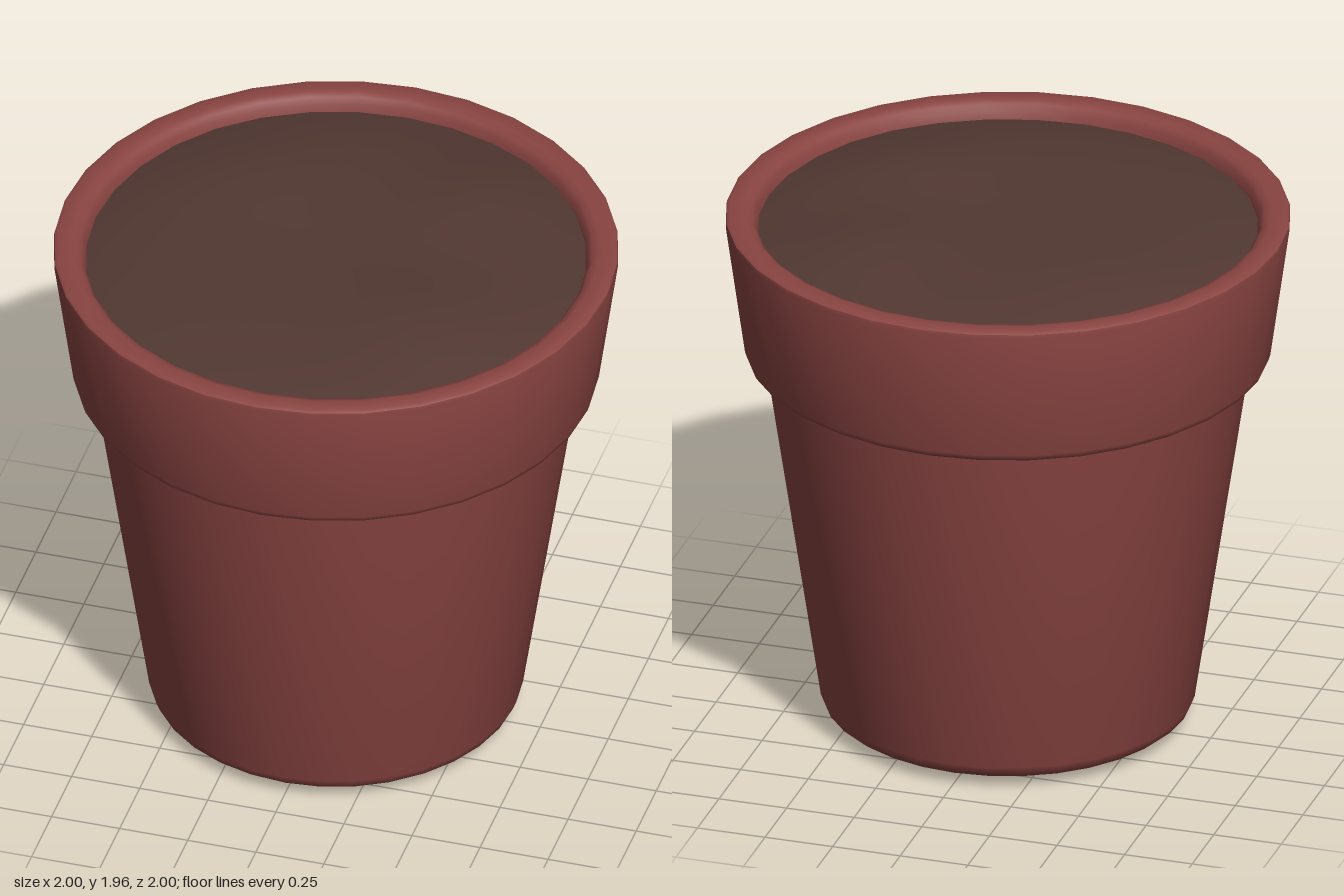
import * as THREE from 'three';
import { mergeVertices, toCreasedNormals } from 'three/addons/utils/BufferGeometryUtils.js';

const SIDES = 32;
const lathe = (profile) =>
  new THREE.LatheGeometry(profile.map(([r, y]) => new THREE.Vector2(r, y)), SIDES);

function addMesh(group, name, geometry, color) {
  const mesh = new THREE.Mesh(geometry, new THREE.MeshStandardMaterial({ color }));
  mesh.name = name;
  group.add(mesh);
}

// Gentle mounds on the soil: x, z, height, spread
const mounds = [
  [0.4, -0.42, 0.032, 0.25],
  [0.42, 0.32, 0.028, 0.25],
  [-0.42, -0.35, 0.02, 0.27],
];

function soilHeight(x, z) {
  const r = Math.hypot(x, z) / 0.885;
  let y = 1.885 + 0.052 * (1 - r ** 4);
  for (const [mx, mz, h, s] of mounds) {
    y += h * Math.exp(-((x - mx) ** 2 + (z - mz) ** 2) / (s * s));
  }
  return y;
}

export function createModel() {
  const group = new THREE.Group();
  group.name = 'flowerPot';

  // Tapered pot with a thick collar, rounded lip and hollow neck
  const pot = lathe([
    [0, 0], [0.42, 0.004], [0.55, 0.016], [0.625, 0.04], [0.65, 0.06], [0.662, 0.09], // base
    [0.859, 1.41], // wall
    [0.912, 1.41], [0.924, 1.418], [0.93, 1.436], // collar underside
    [0.998, 1.925], [0.996, 1.938], [0.985, 1.945], // collar side
    [0.93, 1.945], [0.905, 1.936], [0.89, 1.915], [0.88, 1.87], [0.865, 1.75], // lip and inner wall
  ]);
  addMesh(group, 'pot', toCreasedNormals(pot, 0.8), 0x8a4542);

  // Uneven soil surface filling the neck
  let soil = lathe([0.885, 0.84, 0.77, 0.68, 0.57, 0.45, 0.32, 0.16, 0].map((r) => [r, 0]));
  soil.deleteAttribute('normal');
  soil.deleteAttribute('uv');
  soil = mergeVertices(soil, 1e-4);
  const pos = soil.attributes.position;
  for (let i = 0; i < pos.count; i++) {
    pos.setY(i, soilHeight(pos.getX(i), pos.getZ(i)));
  }
  soil.computeVertexNormals();
  addMesh(group, 'soil', soil, 0x523832);

  return group;
}
